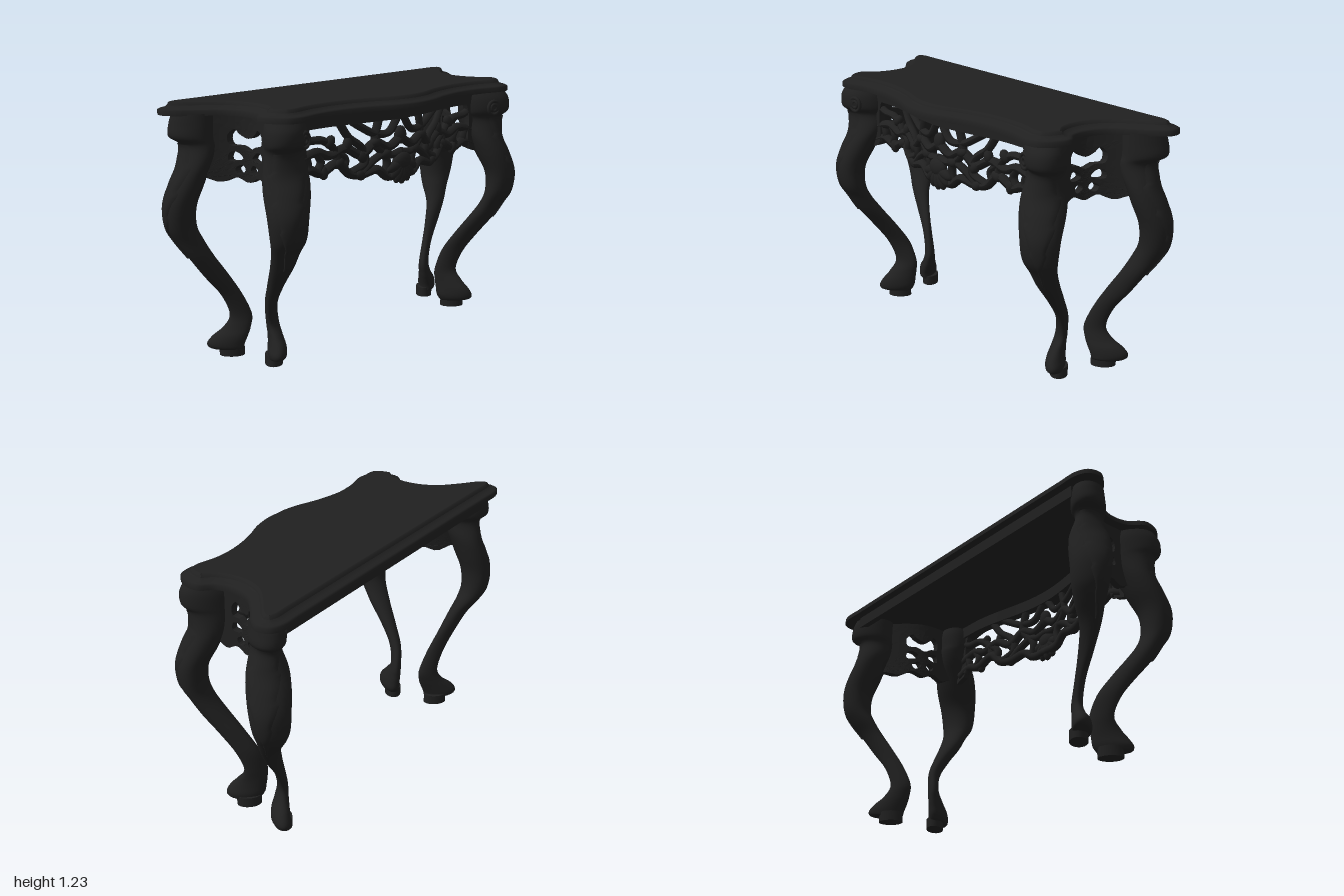
import * as THREE from 'three';

const wood = new THREE.MeshStandardMaterial({ color: 0x202020, side: THREE.DoubleSide });
wood.name = 'ebonyWood';

function add(group, name, geometry) {
  const mesh = new THREE.Mesh(geometry, wood);
  mesh.name = name;
  group.add(mesh);
}

// Copy of a geometry reflected in x, with its faces turned back outward
function mirrored(geometry) {
  const g = geometry.clone().applyMatrix4(new THREE.Matrix4().makeScale(-1, 1, 1));
  const count = g.attributes.position.count;
  const idx = g.index ? Array.from(g.index.array) : Array.from({ length: count }, (_, i) => i);
  for (let i = 0; i < idx.length; i += 3) [idx[i + 1], idx[i + 2]] = [idx[i + 2], idx[i + 1]];
  g.setIndex(idx);
  return g;
}

function addPair(group, name, geometry) {
  add(group, name + 'Left', geometry);
  add(group, name + 'Right', mirrored(geometry));
}

// Skin over rows of points
function loft(rows, closed) {
  const n = rows[0].length, pos = [], idx = [];
  rows.forEach(row => row.forEach(p => pos.push(p.x, p.y, p.z)));
  for (let i = 0; i < rows.length - 1; i++) {
    for (let j = 0; j < (closed ? n : n - 1); j++) {
      const k = (j + 1) % n, a = i * n + j, b = i * n + k;
      idx.push(a, b, a + n, b, b + n, a + n);
    }
  }
  const g = new THREE.BufferGeometry();
  g.setAttribute('position', new THREE.Float32BufferAttribute(pos, 3));
  g.setIndex(idx);
  g.computeVertexNormals();
  return g;
}

// Move vertices by a rule
function bend(geometry, rule) {
  const p = geometry.attributes.position, v = new THREE.Vector3();
  for (let i = 0; i < p.count; i++) {
    rule(v.fromBufferAttribute(p, i));
    p.setXYZ(i, v.x, v.y, v.z);
  }
  geometry.computeVertexNormals();
  return geometry;
}

// Halve long triangle edges so that a flat panel bends evenly
function subdivide(geometry, limit) {
  const p = geometry.attributes.position, pos = [];
  const split = (a, b, c) => {
    const ab = a.distanceTo(b), bc = b.distanceTo(c), ca = c.distanceTo(a);
    if (bc > ab && bc >= ca) return split(b, c, a);
    if (ca > ab) return split(c, a, b);
    if (ab <= limit) return pos.push(...a, ...b, ...c);
    const m = a.clone().lerp(b, .5);
    split(a, m, c);
    split(m, b, c);
  };
  const corner = i => new THREE.Vector3().fromBufferAttribute(p, i);
  for (let i = 0; i < p.count; i += 3) split(corner(i), corner(i + 1), corner(i + 2));
  return new THREE.BufferGeometry().setAttribute('position', new THREE.Float32BufferAttribute(pos, 3));
}

// Serpentine top with a moulded edge
function addTop(group) {
  const half = [[0, .378], [.12, .362], [.26, .315], [.42, .285], [.58, .29], [.7, .315], [.77, .3], [.815, .24], [.825, .16],
    [.775, .1], [.76, .01], [.79, -.085], [.87, -.165], [.955, -.235], [.99, -.29], [.975, -.35], [.92, -.378], [.8, -.38], [.4, -.38], [0, -.38]];
  const loop = [...half.map(([x, z]) => [-x, z]), ...half.slice(1, -1).reverse()];
  const curve = new THREE.CatmullRomCurve3(loop.map(([x, z]) => new THREE.Vector3(x, 0, z)), true);
  const N = 180;
  const row = (inset, y) => Array.from({ length: N }, (_, i) => {
    const p = curve.getPoint(i / N), t = curve.getTangent(i / N);
    return new THREE.Vector3(p.x - t.z * inset, y, p.z + t.x * inset);
  });
  const profile = [[0, 1.172], [0, 1.194], [.01, 1.2], [.022, 1.203], [.022, 1.203], [.034, 1.206],
    [.044, 1.214], [.044, 1.214], [.05, 1.226], [.058, 1.23]];
  add(group, 'topEdge', loft(profile.map(([d, y]) => row(d, y)).reverse(), true));
  const cap = (inset, y, up) => {
    const s = new THREE.Shape(row(inset, 0).map(p => new THREE.Vector2(p.x, up ? -p.z : p.z)));
    return new THREE.ShapeGeometry(s).rotateX(up ? -Math.PI / 2 : Math.PI / 2).translate(0, y, 0);
  };
  add(group, 'topSurface', cap(.058, 1.23, true));
  add(group, 'topUnderside', cap(0, 1.172, false));
}

// Leg sections: y, x from, x to, z from, z to
const FRONT = [[1.18, .59, .80, .10, .28], [1.13, .58, .82, .09, .31], [1.07, .58, .82, .09, .31], [1.03, .59, .80, .09, .275],
  [.95, .60, .805, .11, .29], [.85, .63, .83, .145, .33], [.75, .665, .845, .19, .35], [.65, .67, .835, .2, .335], [.58, .67, .81, .18, .29],
  [.5, .655, .78, .13, .24], [.4, .635, .74, .06, .16], [.3, .61, .705, 0, .09], [.2, .58, .68, -.02, .06],
  [.14, .58, .685, -.02, .10], [.1, .58, .70, -.015, .135], [.065, .58, .715, -.01, .15], [.04, .59, .71, 0, .14], [.03, .60, .69, .01, .09]];
const BACK = [[1.18, .77, .94, -.33, -.15], [1.13, .77, .95, -.345, -.15], [1.07, .77, .955, -.345, -.15], [1.03, .78, .91, -.31, -.145],
  [.95, .78, .93, -.33, -.15], [.85, .80, .97, -.36, -.17], [.75, .825, .995, -.375, -.2], [.65, .825, .985, -.365, -.215], [.58, .805, .95, -.33, -.21],
  [.5, .775, .9, -.275, -.19], [.4, .715, .83, -.235, -.17], [.3, .66, .75, -.21, -.145], [.2, .62, .71, -.2, -.125],
  [.14, .63, .735, -.22, -.12], [.1, .645, .78, -.25, -.12], [.065, .66, .80, -.27, -.125], [.04, .665, .79, -.265, -.13], [.03, .65, .75, -.23, -.15]];

// Cabriole leg: broad across at the knee, slim and diagonal at the foot; side is 1 in front, -1 behind
function addLeg(group, name, data, side, facing) {
  const spline = f => new THREE.CatmullRomCurve3(data.map(f), false, 'catmullrom', .5);
  const mid = spline(r => new THREE.Vector3((r[1] + r[2]) / 2, r[0], (r[3] + r[4]) / 2));
  const rad = spline(r => new THREE.Vector3((r[2] - r[1]) / 2, 0, (r[4] - r[3]) / 2));
  const step = THREE.MathUtils.smoothstep;
  const point = (u, a, grow) => {
    const c = mid.getPoint(u), r = rad.getPoint(u);
    const skew = side * (.65 - .85 * step(c.y, .25, .7) + .5 * step(c.y, .9, 1.05));
    return new THREE.Vector3(c.x + (r.x + grow) * Math.cos(a), c.y, c.z + (r.z + grow) * Math.sin(a + skew));
  };
  const ROWS = 85, SIDES = 28;
  const rows = Array.from({ length: ROWS + 1 }, (_, i) =>
    Array.from({ length: SIDES }, (_, j) => point(i / ROWS, j / SIDES * Math.PI * 2, 0)));
  addPair(group, name, loft(rows, true));
  // Carved leaf down the knee, with a toothed outline
  const leaf = Array.from({ length: 41 }, (_, i) => {
    const k = i / 40, width = (.35 + .7 * Math.sin(Math.PI * Math.min(1, k + .25))) * (1 - .28 * ((k * 5) % 1)) * (1 - k * k * .8);
    return Array.from({ length: 9 }, (_, j) => {
      const s = j / 4 - 1;
      return point(.17 + k * .36, facing + s * width, .009 * (1 - s ** 4) - .001);
    });
  });
  addPair(group, name + 'Leaf', loft(leaf, false));
  // Block under the foot
  addPair(group, name + 'Pad', new THREE.CylinderGeometry(1, 1, .05, 20).scale(.06, 1, .042)
    .rotateY(-side * Math.PI / 4).translate(.675 - side * .025, .025, -.07 + side * .12));
}

const apronZ = x => .22 + .033 * Math.cos(Math.min(1, Math.abs(x) / .5) * Math.PI);
const tube = (pts, r) => {
  const curve = new THREE.CatmullRomCurve3(pts.map(([x, y]) => new THREE.Vector3(x, y, 0)));
  return bend(new THREE.TubeGeometry(curve, pts.length * 6, r, 8), v => { v.z += apronZ(v.x); });
};

// Pierced scrollwork between the front legs
function addFrontApron(group) {
  add(group, 'frontRail', bend(new THREE.BoxGeometry(1.3, .066, .045, 48, 1, 1), v => { v.y += 1.145; v.z += apronZ(v.x); }));
  const strands = [
    [[0, .84], [.09, .84], [.15, .88], [.24, .865], [.31, .88], [.37, .935], [.47, .9], [.55, .925], [.63, .9]],
    [[0, 1.02], [.08, .98], [.16, 1.01], [.24, .96], [.33, 1], [.42, .975], [.5, 1.0], [.63, .97]],
    [[.02, 1.12], [.08, 1.05], [.17, 1.055], [.24, 1.09], [.29, 1.12]],
    [[.3, .88], [.22, .92], [.235, .99], [.31, 1.05], [.36, 1.12]],
    [[.1, .85], [.09, .92], [.16, 1.01], [.14, 1.12]],
    [[.37, .935], [.39, 1.0], [.46, 1.05], [.55, 1.06], [.63, 1.1]],
    [[.5, 1.0], [.47, .95], [.5, .9]],
    [[0, .95], [.06, .94], [.11, .95], [.18, .92], [.24, .87]],
    [[.56, .98], [.55, .94], [.58, .9]],
    [[.38, .99], [.33, .95], [.34, .9]],
  ];
  strands.forEach((s, i) => addPair(group, 'frontScroll' + i, tube(s, i < 2 ? .022 : .019)));
  // Small leaf buds where the scrolls meet
  [[.16, 1.01], [.24, .95], [.32, 1.02], [.37, .935], [.25, .865], [.46, .9], [.42, 1.04], [.1, .95]].forEach(([x, y], i) =>
    addPair(group, 'bud' + i, new THREE.SphereGeometry(1, 12, 8).scale(.034, .024, .022).rotateZ(i * .9).translate(x, y, apronZ(x) + .006)));
  // Fanned shell in the middle
  for (let i = -3; i <= 3; i++) {
    const lobe = new THREE.SphereGeometry(1, 12, 10).scale(.026, .058, .024).translate(0, -.05, 0).rotateZ(i * .42);
    add(group, 'shellRib', lobe.translate(0, .9, apronZ(0) + .01));
  }
  add(group, 'shellHeart', new THREE.SphereGeometry(1, 16, 10).scale(.06, .045, .03).translate(0, .905, apronZ(0) + .01));
  add(group, 'shellDrop', new THREE.SphereGeometry(1, 12, 8).scale(.035, .045, .025).translate(0, 1.03, apronZ(0)));
  // Solid wings beside the legs
  const wing = new THREE.Shape();
  wing.moveTo(.65, 1.15).lineTo(.53, 1.15).quadraticCurveTo(.59, 1.08, .575, .99).quadraticCurveTo(.56, .93, .59, .88).lineTo(.65, .86);
  addPair(group, 'frontWing', bend(new THREE.ExtrudeGeometry(wing, { depth: .03, bevelEnabled: false }), v => { v.z += apronZ(v.x) - .01; }));
}

// Pierced panel between the front and back leg on each side
function addSideApron(group) {
  const smooth = pts => new THREE.CatmullRomCurve3(pts.map(([z, y]) => new THREE.Vector3(z, y, 0)), true)
    .getPoints(pts.length * 3).slice(0, -1).map(p => new THREE.Vector2(p.x, p.y));
  const outline = [new THREE.Vector2(-.22, 1.175), new THREE.Vector2(.16, 1.175)];
  for (let i = 20; i >= 0; i--) {
    const z = -.22 + i * .019;
    outline.push(new THREE.Vector2(z, .875 - .012 * Math.cos((z + .02) * 55)));
  }
  const shape = new THREE.Shape(outline);
  shape.holes = [
    [[.06, 1.08], [.035, 1.108], [.015, 1.085], [-.02, 1.066], [-.06, 1.085], [-.08, 1.108], [-.107, 1.08], [-.1, 1.035], [-.06, 1.03], [-.02, 1.01], [.02, 1.03], [.055, 1.035]],
    [[.055, 1.0], [.03, 1.005], [.0, .975], [.03, .96], [.06, .965]],
    [[-.1, 1.0], [-.075, 1.005], [-.045, .975], [-.075, .96], [-.105, .965]],
    [[.035, .925], [.005, .945], [-.01, .92], [.02, .9]],
    [[-.08, .925], [-.05, .945], [-.035, .92], [-.065, .9]],
  ].map(h => new THREE.Path(smooth(h)));
  const panel = new THREE.ExtrudeGeometry(shape, { depth: .035, bevelEnabled: false }).rotateY(-Math.PI / 2);
  addPair(group, 'sideApron', bend(subdivide(panel, .04), v => {
    v.x += .715 + 3 * Math.max(0, .03 - v.z) ** 2;
  }));
}

export function createModel() {
  const group = new THREE.Group();
  group.name = 'consoleTable';
  addTop(group);
  addLeg(group, 'frontLeg', FRONT, 1, 1);
  addLeg(group, 'backLeg', BACK, -1, -.4);
  addFrontApron(group);
  addSideApron(group);
  add(group, 'backRail', new THREE.BoxGeometry(1.7, .06, .03).translate(0, 1.145, -.325));
  // Scroll at the head of each front leg
  [.034, .016].forEach((r, i) => addPair(group, 'scrollRing' + i,
    new THREE.TorusGeometry(r, .009, 8, 20).rotateY(-.2).translate(.67, 1.09, .292)));
  return group;
}
